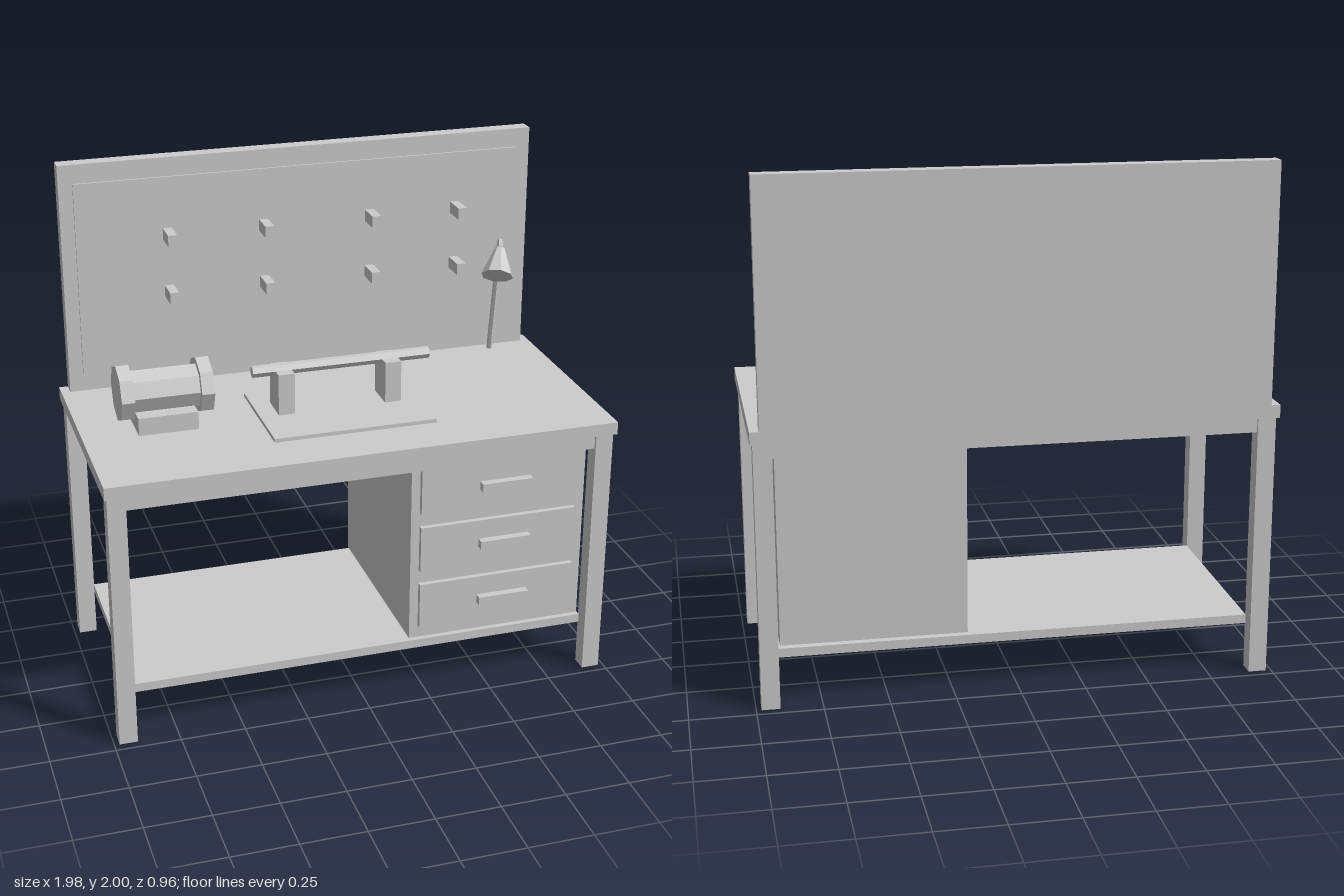
import * as THREE from 'three';

export function createModel() {
  const model = new THREE.Group();
  model.name = 'workbench';
  const grey = new THREE.MeshStandardMaterial({ color: 0xcccccc });
  grey.name = 'light grey';

  function add(name, geometry, parent = model) {
    const mesh = new THREE.Mesh(geometry, grey);
    mesh.name = name;
    parent.add(mesh);
    return mesh;
  }

  function group(name) {
    const g = new THREE.Group();
    g.name = name;
    model.add(g);
    return g;
  }

  // Box given by its lowest and highest corner
  function box(name, [x0, y0, z0], [x1, y1, z1], parent) {
    const mesh = add(name, new THREE.BoxGeometry(x1 - x0, y1 - y0, z1 - z0), parent);
    mesh.position.set((x0 + x1) / 2, (y0 + y1) / 2, (z0 + z1) / 2);
    return mesh;
  }

  // Faceted rod or cone from point a to point b
  function rod(name, a, b, ra, rb, sides, parent) {
    const from = new THREE.Vector3(...a), to = new THREE.Vector3(...b);
    const dir = to.clone().sub(from);
    const geo = new THREE.CylinderGeometry(rb, ra, dir.length(), sides).toNonIndexed();
    geo.computeVertexNormals();
    const mesh = add(name, geo, parent);
    mesh.position.copy(from).add(to).multiplyScalar(0.5);
    mesh.quaternion.setFromUnitVectors(new THREE.Vector3(0, 1, 0), dir.normalize());
    return mesh;
  }

  // Table frame
  box('tabletop', [-0.99, 1.03, -0.48], [0.99, 1.08, 0.48]);
  for (const sx of [-1, 1]) {
    for (const sz of [-1, 1]) {
      const leg = box('leg', [-0.035, 0, -0.033], [0.035, 1.03, 0.033]);
      leg.position.x = sx * 0.945;
      leg.position.z = sz * 0.432;
    }
  }
  for (const sz of [-1, 1]) {
    const apron = box('apron', [-0.915, 0.97, -0.02], [0.915, 1.03, 0.02]);
    apron.position.z = sz * 0.435;
  }
  box('lowerShelf', [-0.91, 0.18, -0.405], [0.91, 0.215, 0.405]);

  // Drawer cabinet
  const cabinet = group('drawerCabinet');
  box('cabinetBody', [0.19, 0.225, -0.4], [0.9, 1.03, 0.4], cabinet);
  for (const y of [0.37, 0.615, 0.86]) {
    box('drawerFront', [0.225, y - 0.095, 0.4], [0.86, y + 0.095, 0.42], cabinet);
    box('drawerHandle', [0.46, y - 0.017, 0.42], [0.665, y + 0.017, 0.45], cabinet);
  }

  // Back board with its raised panel and hooks
  const board = group('backBoard');
  box('boardFrame', [-0.955, 1.08, -0.48], [0.955, 2, -0.42], board);
  box('boardPanel', [-0.9, 1.155, -0.42], [0.9, 1.925, -0.412], board);
  for (const x of [-0.543, -0.158, 0.278, 0.639]) {
    for (const y of [1.465, 1.698]) {
      box('hook', [x - 0.018, y - 0.023, -0.412], [x + 0.018, y + 0.023, -0.315], board);
    }
  }

  // Motor with octagonal end caps
  const motor = group('motor');
  box('motorBase', [-0.78, 1.08, -0.128], [-0.55, 1.15, 0.075], motor);
  rod('motorBody', [-0.8, 1.22, -0.026], [-0.53, 1.22, -0.026], 0.085, 0.085, 8, motor);
  for (const x of [-0.84, -0.535]) {
    rod('motorCap', [x, 1.22, -0.026], [x + 0.05, 1.22, -0.026], 0.11, 0.11, 8, motor);
  }

  // Bar held on two posts
  const stand = group('barStand');
  box('standPlate', [-0.31, 1.08, -0.175], [0.33, 1.095, 0.28], stand);
  for (const x of [-0.205, 0.222]) {
    box('standPost', [x - 0.032, 1.095, -0.052], [x + 0.032, 1.26, 0.075], stand);
  }
  rod('bar', [-0.325, 1.26, 0.012], [0.385, 1.26, 0.012], 0.023, 0.023, 6, stand);

  // Desk lamp
  const lamp = group('lamp');
  const elbow = [0.8, 1.57, -0.305], head = [0.665, 1.66, 0.025];
  rod('lampUpright', [0.8, 1.08, -0.38], elbow, 0.012, 0.012, 6, lamp);
  rod('lampArm', elbow, head, 0.012, 0.012, 6, lamp);
  rod('lampShade', head, [0.63, 1.575, 0.092], 0.02, 0.062, 8, lamp);

  return model;
}
